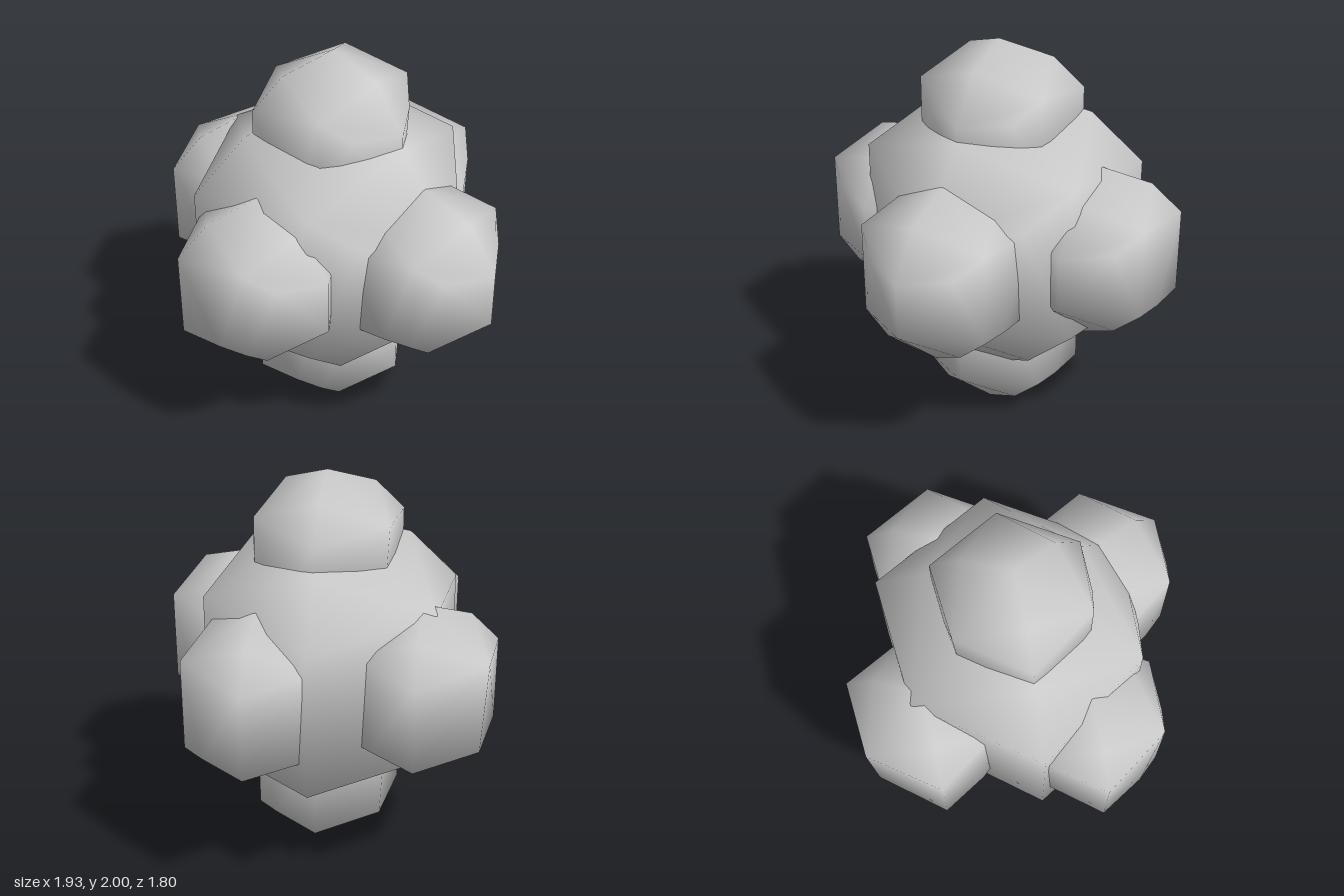
import * as THREE from 'three';
import { ConvexGeometry } from 'three/addons/geometries/ConvexGeometry.js';
import { mergeVertices } from 'three/addons/utils/BufferGeometryUtils.js';

// Corners of one faceted ball on its mirror plane, z = 0
const RIM = [[-0.39, 0.24], [-0.02, 0.45], [0.24, 0.36], [0.4, 0.14], [0.4, -0.14], [0.08, -0.43], [-0.36, -0.23]];
// Corners repeated on both sides of the mirror plane
const SIDE = [
  [-0.22, -0.23, 0.36], [-0.22, 0.2, 0.36], [0.03, -0.2, 0.36], [0.17, 0.26, 0.33],
  [0.17, -0.2, 0.33], [-0.14, 0.36, 0.23], [0.27, 0.15, 0.22], [0.18, -0.31, 0.2],
];

function ballGeometry() {
  const points = RIM.map(([x, y]) => new THREE.Vector3(x, y, 0));
  for (const [x, y, z] of SIDE) {
    points.push(new THREE.Vector3(x, y, z), new THREE.Vector3(x, y, -z));
  }
  // Shared corners with radial normals shade like a round ball
  const hull = new ConvexGeometry(points);
  hull.deleteAttribute('normal');
  const geometry = mergeVertices(hull, 1e-4);
  geometry.setAttribute('normal', geometry.getAttribute('position').clone());
  geometry.normalizeNormals();
  return geometry;
}

export function createModel() {
  const model = new THREE.Group();
  model.name = 'ballCluster';
  const geometry = ballGeometry();
  const material = new THREE.MeshStandardMaterial({ color: 0xcccccc });

  const addBall = (name, x, y, z, scale = 1) => {
    const ball = new THREE.Mesh(geometry, material);
    ball.name = name;
    ball.position.set(x, y, z);
    ball.scale.setScalar(scale);
    model.add(ball);
  };

  // Large core with a small ball on each of its six sides
  addBall('core', 0, 1, 0, 1.72);
  addBall('topBall', 0, 1.55, 0);
  addBall('bottomBall', 0, 0.43, 0);
  addBall('leftBall', 0.56, 1, 0);
  addBall('rightBall', -0.58, 1, 0);
  addBall('frontBall', 0, 1, 0.54);
  addBall('backBall', 0, 1, -0.54);
  return model;
}
